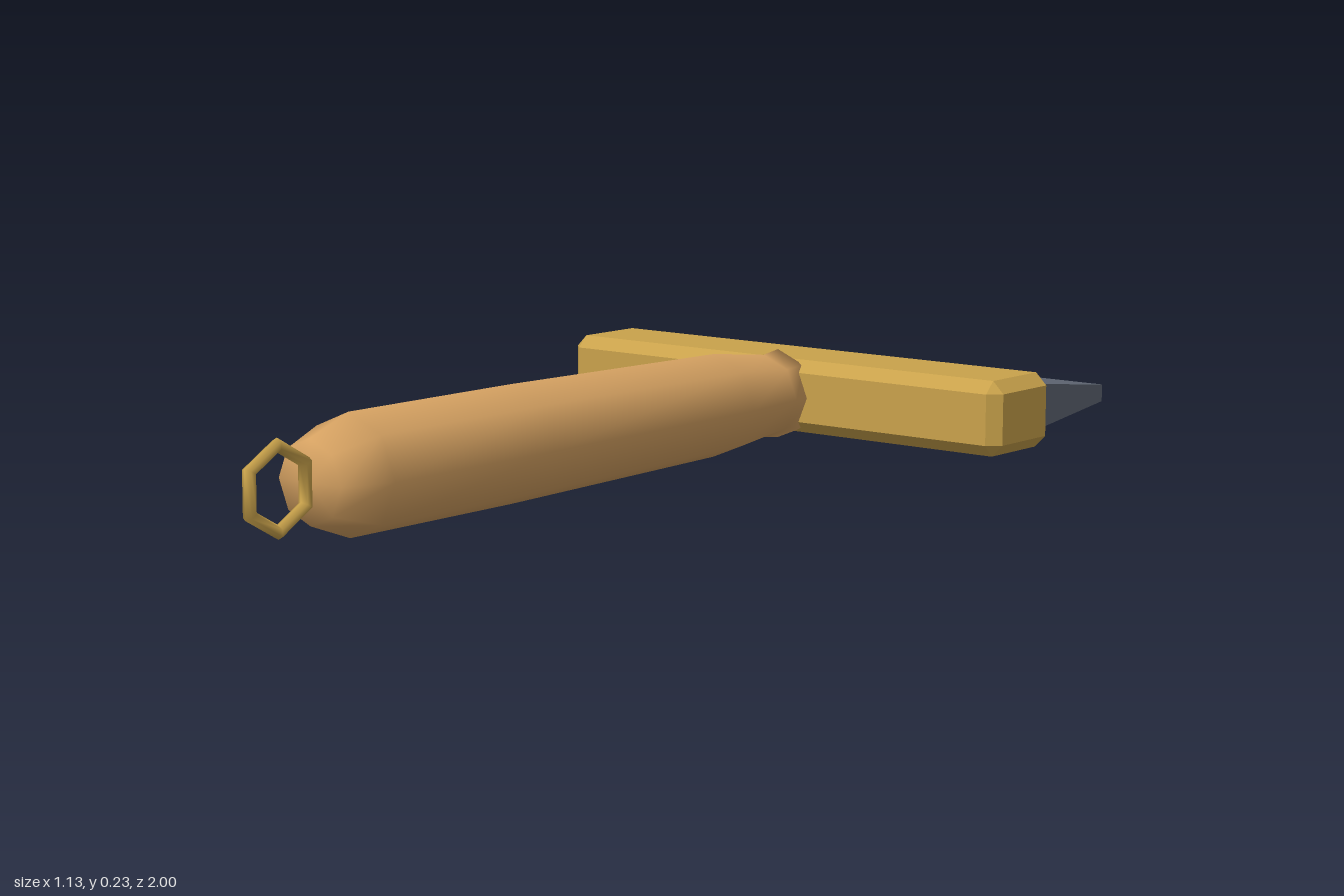
import * as THREE from 'three';
import { ConvexGeometry } from 'three/addons/geometries/ConvexGeometry.js';

const wood = new THREE.MeshStandardMaterial({ name: 'wood', color: 0xd6a262 });
const brass = new THREE.MeshStandardMaterial({ name: 'brass', color: 0xc9a24b });
const rubber = new THREE.MeshStandardMaterial({ name: 'rubber', color: 0x5f6673 });

const AXIS_Y = 0.12;

// Box with every edge chamfered by c, faceted
function chamferedBox(w, h, d, c) {
  const points = [];
  const half = [w / 2, h / 2, d / 2];
  for (const sx of [-1, 1]) for (const sy of [-1, 1]) for (const sz of [-1, 1]) {
    const s = [sx, sy, sz];
    for (let outer = 0; outer < 3; outer++) {
      points.push(new THREE.Vector3(...s.map((v, i) => v * (half[i] - (i === outer ? 0 : c)))));
    }
  }
  return new ConvexGeometry(points);
}

export function createModel() {
  const group = new THREE.Group();
  const add = (name, geometry, material, y, z) => {
    const mesh = new THREE.Mesh(geometry, material);
    mesh.name = name;
    mesh.position.set(0, y, z);
    group.add(mesh);
  };

  // Octagonal, smooth-shaded handle; profile is [radius, z]
  const profile = [
    [0, -0.55], [0.095, -0.55], [0.088, -0.5], [0.108, -0.33],
    [0.117, 0.3], [0.117, 0.74], [0.08, 0.84], [0, 0.84],
  ].map(([r, z]) => new THREE.Vector2(r, z));
  add('handle', new THREE.LatheGeometry(profile, 8).rotateX(Math.PI / 2), wood, AXIS_Y, 0);

  // Chamfered cross head
  add('head', chamferedBox(1.13, 0.155, 0.21, 0.025), brass, AXIS_Y, -0.635);

  // Tapered blade, extruded across the width
  const section = new THREE.Shape([
    [0.72, -0.051], [1, -0.018], [1, 0.018], [0.72, 0.051],
  ].map(([z, y]) => new THREE.Vector2(z, y)));
  const blade = new THREE.ExtrudeGeometry(section, { depth: 1.05, bevelEnabled: false });
  blade.translate(0, 0, -0.525).rotateY(Math.PI / 2);
  add('blade', blade, rubber, AXIS_Y, 0);

  // Six-sided hanging ring
  const ring = new THREE.TorusGeometry(0.079, 0.0135, 6, 6);
  ring.rotateZ(Math.PI / 2).rotateY(Math.PI / 2);
  add('hangingRing', ring, brass, AXIS_Y, 0.92);

  return group;
}
